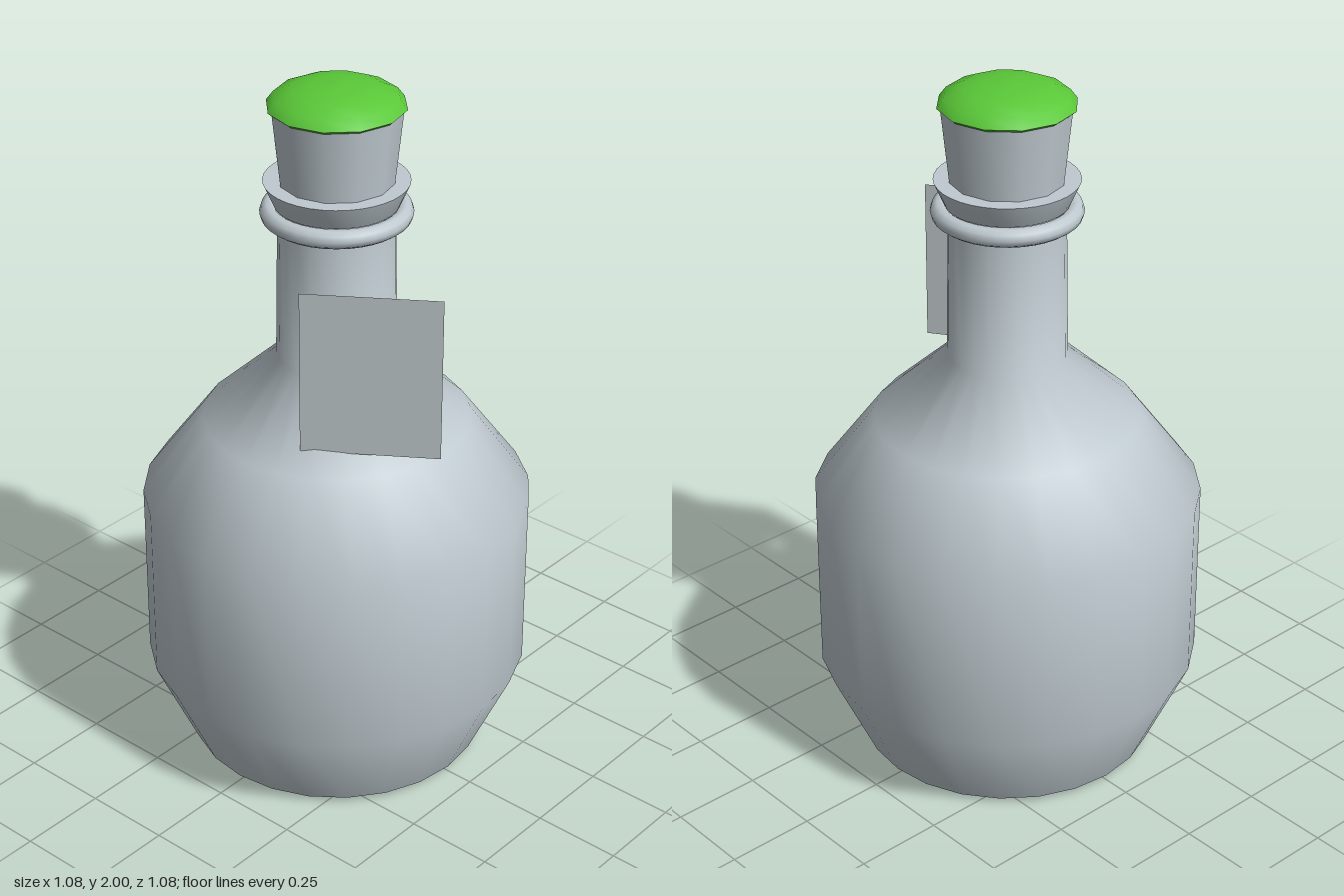
import * as THREE from 'three';

export function createModel() {
  const model = new THREE.Group();
  const glass = new THREE.MeshStandardMaterial({ color: 0xbfcad0 });
  glass.name = 'pale grey glass';
  const green = new THREE.MeshStandardMaterial({ color: 0x5ac838 });
  green.name = 'green cap';
  const paper = new THREE.MeshStandardMaterial({ color: 0xbfc8cb, side: THREE.DoubleSide });
  paper.name = 'grey tag';

  const add = (name, geometry, material) => {
    const mesh = new THREE.Mesh(geometry, material);
    mesh.name = name;
    model.add(mesh);
    return mesh;
  };
  // Turned part from [radius, height] points, listed from bottom to top
  const turned = (name, points, sides, material) =>
    add(name, new THREE.LatheGeometry(points.map(([r, y]) => new THREE.Vector2(r, y)), sides), material);

  // Bottle with smooth shoulders and a separate, hard-edged base
  turned('bottleBase', [[0, 0.005], [0.42, 0.02]], 24, glass);
  turned('bottleBody', [[0.42, 0.02], [0.54, 0.285], [0.54, 0.8], [0.37, 1.03], [0.165, 1.22], [0.157, 1.68]], 24, glass);

  // Neck bead and flared lip
  const bead = add('neckRing', new THREE.TorusGeometry(0.179, 0.026, 10, 36), glass);
  bead.rotation.x = Math.PI / 2;
  bead.position.y = 1.641;
  turned('lipFlare', [[0.157, 1.66], [0.168, 1.665], [0.196, 1.73]], 36, glass);
  turned('lipTop', [[0.196, 1.73], [0.14, 1.73]], 36, glass);

  // Tapered stopper with a domed cap
  turned('stopper', [[0.15, 1.68], [0.177, 1.935]], 12, glass);
  turned('capUnderside', [[0, 1.93], [0.175, 1.93], [0.187, 1.94]], 12, green);
  turned('capDome', [[0.187, 1.94], [0.168, 1.965], [0.122, 1.986], [0.065, 1.997], [0, 2]], 12, green);

  // Thin tag standing at an angle against the shoulder
  const tag = add('tag', new THREE.PlaneGeometry(0.374, 0.465), paper);
  tag.position.set(0.277, 1.3125, 0.185);
  tag.rotation.y = Math.atan2(0.21, 0.31);

  return model;
}
